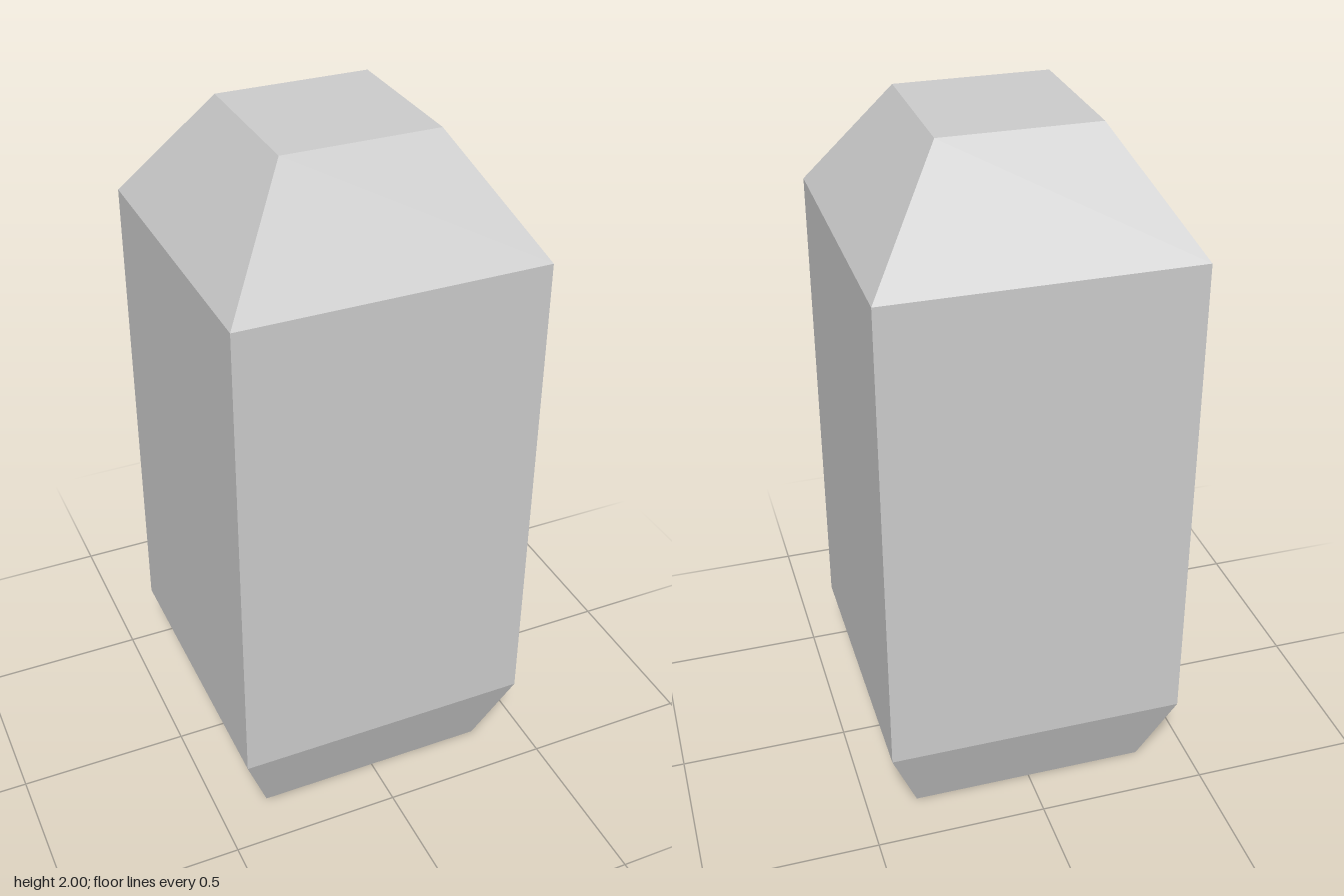
import * as THREE from 'three';

const material = new THREE.MeshStandardMaterial({ color: 0xcccccc, flatShading: true });

// Square section swept up a profile of [half width, height] points, with flat faces
function squareSection(name, profile) {
  const points = profile.map(([half, y]) => new THREE.Vector2(half * Math.SQRT2, y));
  const geometry = new THREE.LatheGeometry(points, 4, Math.PI / 4).toNonIndexed();
  geometry.computeVertexNormals();
  const mesh = new THREE.Mesh(geometry, material);
  mesh.name = name;
  return mesh;
}

export function createModel() {
  const model = new THREE.Group();
  model.name = 'taperedBlock';

  const base = 0.35, middle = 0.437, top = 0.219;
  const lowerEdge = 0.245, upperEdge = 1.68, height = 2;

  model.add(
    // Closed underside and short taper out to the body
    squareSection('lowerTaper', [[0, 0], [base, 0], [middle, lowerEdge]]),
    // Straight square shaft
    squareSection('body', [[middle, lowerEdge], [middle, upperEdge]]),
    // Sloping shoulders and flat top
    squareSection('upperTaper', [[middle, upperEdge], [top, height], [0, height]]),
  );
  return model;
}
